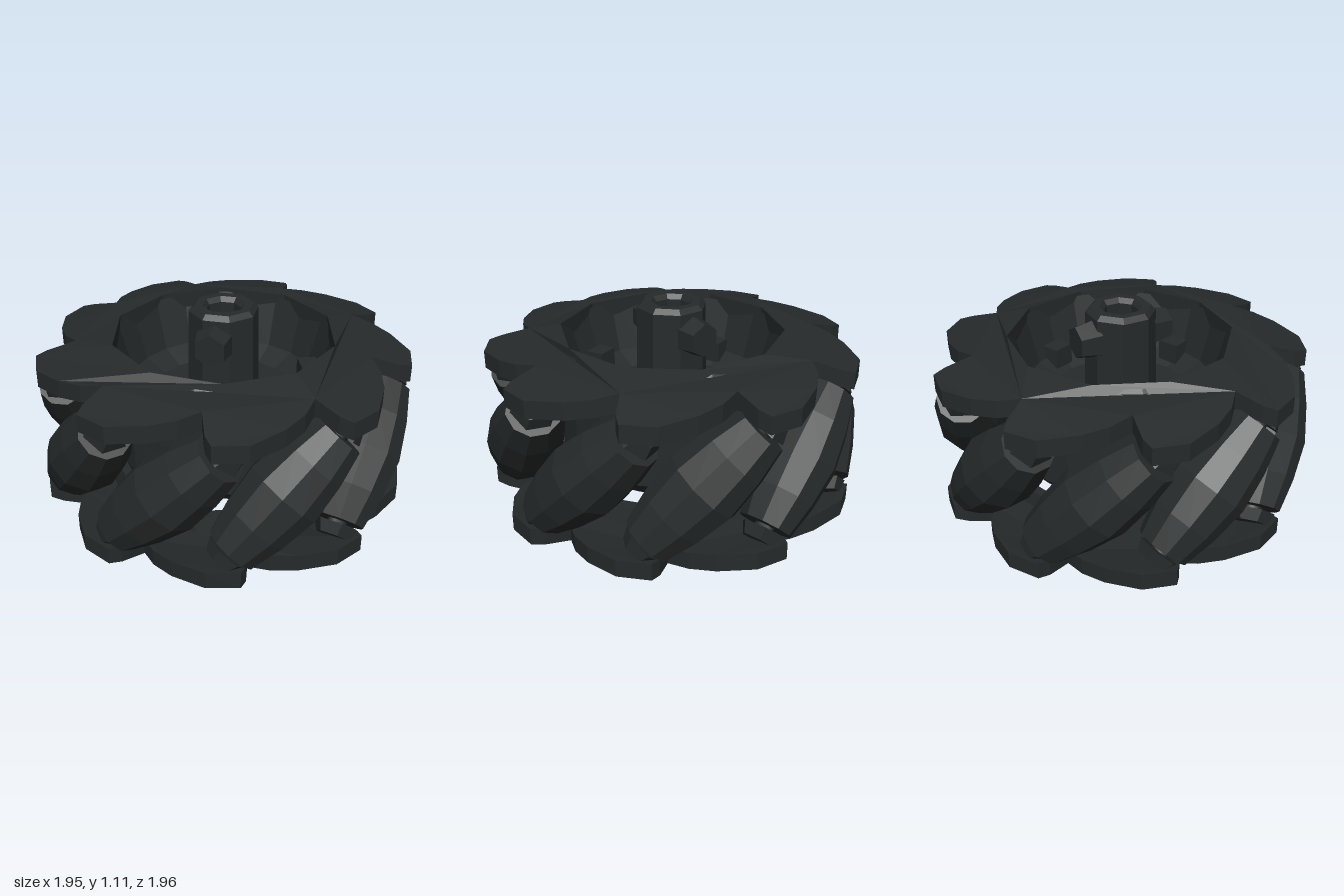
import * as THREE from 'three';

const COUNT = 9, STEP = (Math.PI * 2) / COUNT;
const MID = 0.487;                      // mid height of the wheel
const deg = THREE.MathUtils.degToRad;
const flat = new THREE.MeshStandardMaterial({ color: 0x262a2a, flatShading: true, side: THREE.DoubleSide });
const smooth = new THREE.MeshStandardMaterial({ color: 0x262a2a });

function add(parent, name, geometry, material = flat) {
  const mesh = new THREE.Mesh(geometry, material);
  mesh.name = name;
  parent.add(mesh);
  return mesh;
}

const lathe = (points, sides) =>
  new THREE.LatheGeometry(points.map(([r, y]) => new THREE.Vector2(r, y)), sides);

// Saw-toothed ring, sloping down towards its swept arms
function plateGeometry() {
  const polar = (a, r) => new THREE.Vector2(r * Math.sin(a), -r * Math.cos(a));
  const tooth = [[-5, 0.9], [-3, 0.96], [7, 0.96], [18, 0.89], [26, 0.83], [33, 0.76]];
  const outline = [];
  for (let i = 0; i < COUNT; i++)
    for (const [a, r] of tooth) outline.push(polar(deg(a) + i * STEP, r));
  const shape = new THREE.Shape(outline);
  const hole = [];
  for (let i = 0; i < 10; i++) hole.push(polar((-i * Math.PI) / 5, 0.58));
  shape.holes.push(new THREE.Path(hole));
  const g = new THREE.ExtrudeGeometry(shape, { depth: 0.09, bevelEnabled: false });
  g.rotateX(-Math.PI / 2);
  const p = g.attributes.position;
  for (let i = 0; i < p.count; i++) {
    const r = Math.hypot(p.getX(i), p.getZ(i));
    p.setY(i, p.getY(i) - 0.09 - Math.max(0, r - 0.57) * 0.24);
  }
  g.computeVertexNormals();
  return g;
}

export function createModel() {
  const wheel = new THREE.Group();
  wheel.name = 'omnidirectionalWheel';

  // Side plates, the lower one turned over
  const plate = plateGeometry();
  const top = add(wheel, 'upperPlate', plate);
  top.position.y = 0.973;
  top.rotation.y = deg(13);
  const bottom = add(wheel, 'lowerPlate', plate);
  bottom.rotation.set(0, deg(-25), Math.PI);

  // Collar inside the lower plate
  add(wheel, 'lowerCollar', lathe([[0.57, 0.005], [0.63, 0.06], [0.6, 0.22], [0.55, 0.22], [0.57, 0.005]], 10));

  // Core drum with a recessed top and flat underside
  add(wheel, 'coreDrum', lathe([[0, 0.29], [0.53, 0.29], [0.59, 0.36], [0.59, 0.93], [0.575, 0.95],
    [0.5, 0.68], [0.38, 0.62], [0, 0.62]], 20));

  // Barrel rollers, tilted 45 degrees, with a bearing lug at each end
  const barrel = lathe([[0, -0.37], [0.135, -0.37], [0.175, -0.2], [0.2, 0], [0.175, 0.2], [0.135, 0.37], [0, 0.37]], 10);
  const axle = new THREE.CylinderGeometry(0.05, 0.05, 0.9, 8);
  const lug = new THREE.CylinderGeometry(0.085, 0.115, 0.06, 6);
  for (let i = 0; i < COUNT; i++) {
    const station = new THREE.Group();
    station.name = 'rollerStation';
    station.rotation.y = deg(-6) + i * STEP;
    const tilt = new THREE.Group();
    tilt.name = 'rollerAssembly';
    tilt.position.set(0, MID, 0.79);
    tilt.rotation.z = -Math.PI / 4;
    add(tilt, 'roller', barrel);
    add(tilt, 'rollerAxle', axle, smooth);
    for (const s of [-1, 1]) {
      const l = add(tilt, 'bearingLug', lug);
      l.position.y = s * 0.42;
      l.rotation.x = s < 0 ? Math.PI : 0;
    }
    station.add(tilt);
    wheel.add(station);
  }

  // Hub sleeve with a bore
  add(wheel, 'hub', lathe([[0.09, 0.66], [0.09, 1.09], [0.11, 1.115], [0.155, 1.115], [0.18, 1.09], [0.19, 0.6]], 8))
    .rotation.y = Math.PI / 8;
  add(wheel, 'hubUnderside', new THREE.CylinderGeometry(0.14, 0.14, 0.06, 8)).position.y = 0.27;

  // Clamp screws on the front and back of the hub
  for (const s of [-1, 1]) {
    const screw = add(wheel, 'clampScrew', new THREE.CylinderGeometry(0.085, 0.105, 0.11, 6));
    screw.position.set(-0.01, 0.97, s * 0.205);
    screw.rotation.x = (s * Math.PI) / 2;
  }

  // Four bolt bosses around the recess
  for (let i = 0; i < 4; i++) {
    const a = deg(22) + (i * Math.PI) / 2;
    const boss = add(wheel, 'boltBoss', new THREE.BoxGeometry(0.12, 0.12, 0.1));
    boss.position.set(0.46 * Math.sin(a), 0.69, 0.46 * Math.cos(a));
    boss.rotation.y = a;
  }
  return wheel;
}
